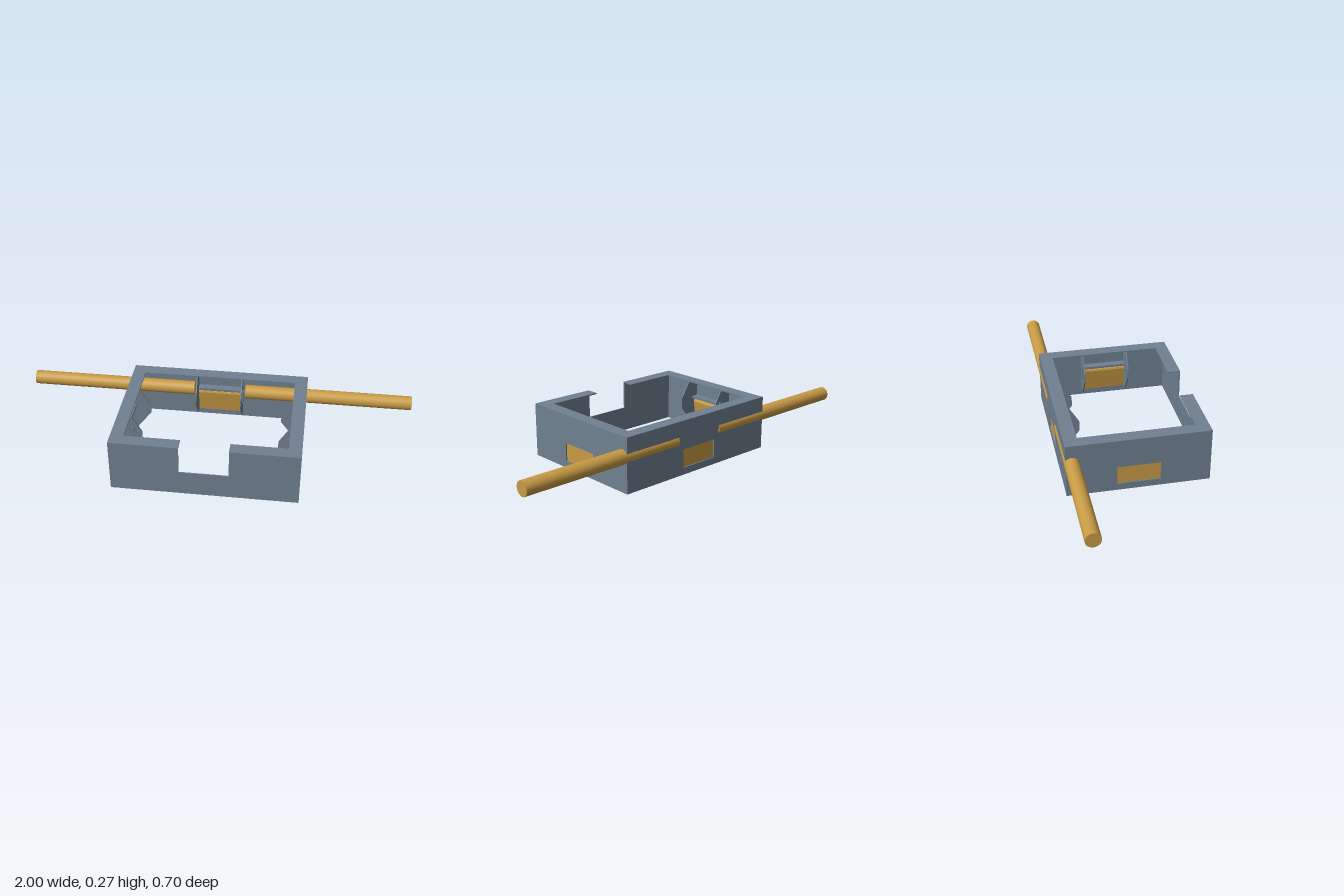
import * as THREE from 'three';

const H = 0.272, W = 0.458, BACK = -0.342, FRONT = 0.348, T = 0.006;
const ZC = (BACK + FRONT) / 2, NOTCH = 0.12, LIP = 0.065;

const slate = new THREE.MeshStandardMaterial({ color: 0x708090 });
const gold = new THREE.MeshStandardMaterial({ color: 0xc89b45 });

const outline = (pts) => new THREE.Shape(pts.map(([x, y]) => new THREE.Vector2(x, y)));
const extrude = (shape, depth) =>
  new THREE.ExtrudeGeometry(shape, { depth, bevelEnabled: false });

function add(parent, name, geometry, material) {
  const mesh = new THREE.Mesh(geometry, material);
  mesh.name = name;
  parent.add(mesh);
  return mesh;
}

// Profile given as (depth from wall, height), extruded along the wall's length
function profileAlongWall(pts, width, x = 0) {
  const g = extrude(outline(pts), width);
  g.rotateY(-Math.PI / 2);
  g.translate(x + width / 2, 0, 0);
  return g;
}

// Wall with a window and its hinged door; local +z points into the tray
function windowWall(name, halfLength) {
  const group = new THREE.Group();
  group.name = name;

  const panel = outline([[-halfLength, 0], [halfLength, 0], [halfLength, H], [-halfLength, H]]);
  panel.holes.push(outline([[-0.104, 0.035], [-0.104, 0.128], [0.104, 0.128], [0.104, 0.035]]));
  add(group, 'wallPanel', extrude(panel, T), slate);

  // door leaning slightly inward and rolled back at its top edge
  const door = [
    [0.007, 0.033], [0.013, 0.033], [0.03, 0.148], [0.027, 0.158],
    [0.017, 0.166], [0.007, 0.166],
  ];
  add(group, 'door', profileAlongWall(door, 0.23), gold);

  // ledge carrying the door hinge
  const ledge = [[T, 0.166], [0.03, 0.166], [0.045, 0.172], [0.045, 0.184], [T, 0.184]];
  add(group, 'hingeLedge', profileAlongWall(ledge, 0.232), slate);

  // hexagonal cheek plates at either end of the door
  const cheek = [
    [T, 0.03], [0.04, 0.03], [0.12, 0.135], [0.12, 0.185], [0.07, H - T], [T, H - T],
  ];
  for (const s of [-1, 1]) {
    add(group, 'cheekPlate', profileAlongWall(cheek, T, s * 0.118), slate);
    const pivot = new THREE.BoxGeometry(0.006, 0.08, 0.014);
    pivot.translate(s * 0.124, 0.17, 0.075);
    add(group, 'pivotPad', pivot, slate);
  }
  return group;
}

export function createModel() {
  const model = new THREE.Group();
  model.name = 'tray';

  // back and side walls with doors
  const back = windowWall('backWall', W);
  back.position.z = BACK;
  model.add(back);
  for (const [name, s] of [['leftWall', 1], ['rightWall', -1]]) {
    const wall = windowWall(name, (FRONT - BACK) / 2 - T);
    wall.position.set(s * W, 0, ZC);
    wall.rotation.y = -s * Math.PI / 2;
    model.add(wall);
  }

  // front wall with its notch
  const front = outline([
    [-W, 0], [W, 0], [W, H], [NOTCH, H], [NOTCH, 0.127], [-NOTCH, 0.127], [-NOTCH, H], [-W, H],
  ]);
  add(model, 'frontWall', extrude(front, T), slate).position.z = FRONT - T;

  // flat rim around the top, open at the notch
  const xi = W - LIP, zf = FRONT - LIP, zb = BACK + LIP;
  const rim = outline([
    [NOTCH, FRONT], [W, FRONT], [W, BACK], [-W, BACK], [-W, FRONT], [-NOTCH, FRONT],
    [-NOTCH, zf], [-xi, zf], [-xi, zb], [xi, zb], [xi, zf], [NOTCH, zf],
  ]);
  const rimGeometry = extrude(rim, T);
  rimGeometry.rotateX(Math.PI / 2);
  add(model, 'topRim', rimGeometry, slate).position.y = H;

  // rods running out through both sides
  const inner = 0.135, length = 1 - inner;
  for (const [name, s] of [['leftRod', 1], ['rightRod', -1]]) {
    const g = new THREE.CylinderGeometry(0.036, 0.036, length, 32);
    g.rotateZ(Math.PI / 2);
    add(model, name, g, gold).position.set(s * (inner + length / 2), 0.174, -0.312);
  }
  return model;
}
